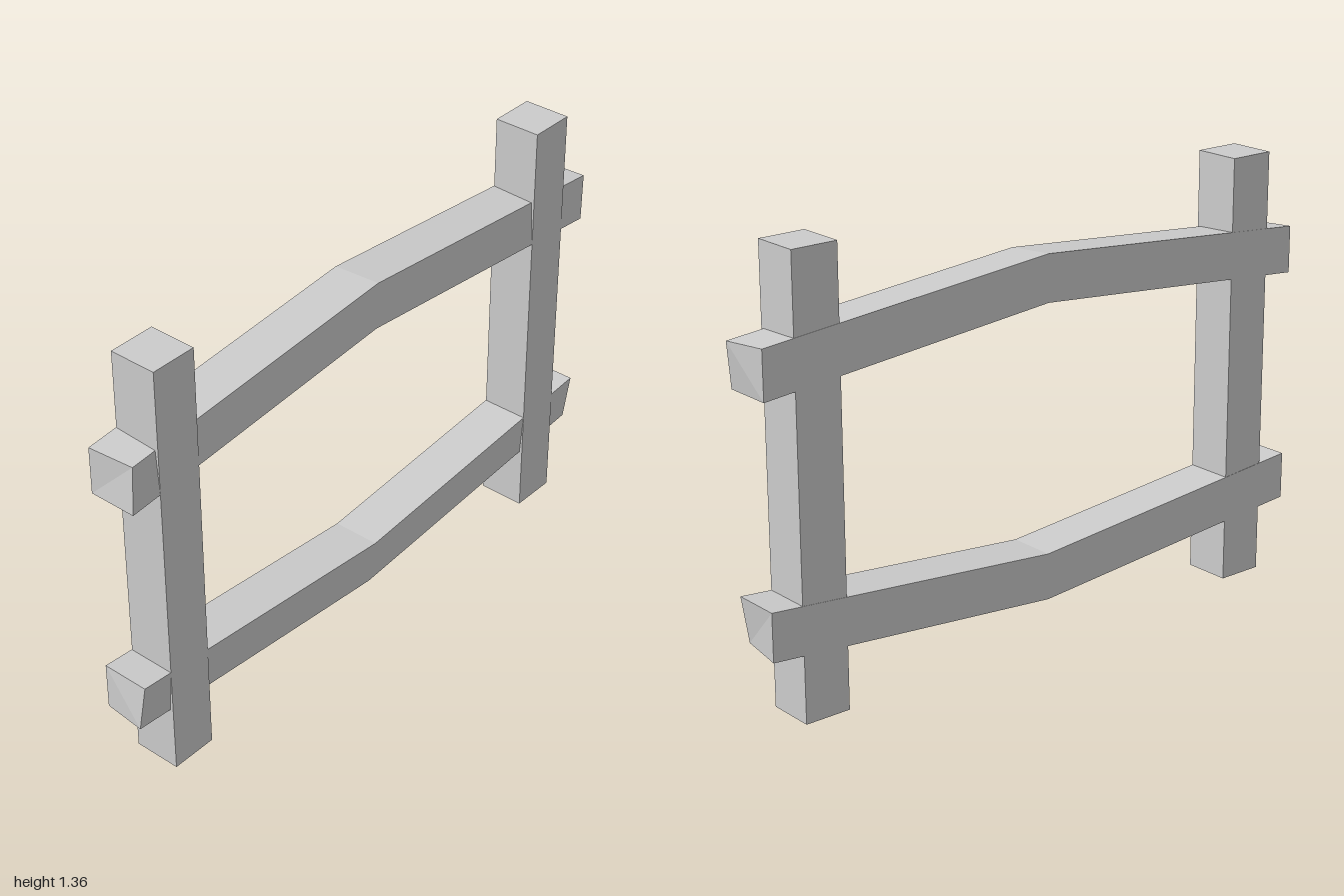
import * as THREE from 'three';

const material = new THREE.MeshStandardMaterial({ color: 0xcccccc, flatShading: true });

// Bent beam along z: three four-cornered sections, with one top edge skewed
function railGeometry() {
  const stations = [
    { z: -0.982, bottom: 0.963, top: 1.111 },
    { z: 0, bottom: 1.05, top: 1.195 },
    { z: 0.982, bottom: 0.963, top: 1.111 },
  ];
  const positions = [];
  for (const { z, bottom, top } of stations) {
    positions.push(
      -0.076, bottom, z,
      0.075, bottom, z,
      0.065, top - 0.007, z - 0.018,
      -0.076, top, z,
    );
  }
  const index = [];
  for (let s = 0; s < stations.length - 1; s++) {
    for (let j = 0; j < 4; j++) {
      const a = s * 4 + j;
      const b = s * 4 + (j + 1) % 4;
      index.push(a, b, b + 4, a, b + 4, a + 4);
    }
  }
  // End caps
  const e = (stations.length - 1) * 4;
  index.push(e, e + 1, e + 2, e, e + 2, e + 3, 0, 2, 1, 0, 3, 2);

  const indexed = new THREE.BufferGeometry();
  indexed.setAttribute('position', new THREE.Float32BufferAttribute(positions, 3));
  indexed.setIndex(index);
  const geometry = indexed.toNonIndexed();
  geometry.computeVertexNormals();
  return geometry;
}

export function createModel() {
  const group = new THREE.Group();
  group.name = 'fence';

  // Upright posts
  const postGeometry = new THREE.BoxGeometry(0.15, 1.36, 0.148);
  for (const [name, side] of [['frontPost', 1], ['backPost', -1]]) {
    const post = new THREE.Mesh(postGeometry, material);
    post.name = name;
    post.position.set(0, 0.68, side * 0.806);
    group.add(post);
  }

  // Rail arching upwards, and the same rail turned over below it
  const geometry = railGeometry();
  const upperRail = new THREE.Mesh(geometry, material);
  upperRail.name = 'upperRail';
  const lowerRail = new THREE.Mesh(geometry, material);
  lowerRail.name = 'lowerRail';
  lowerRail.rotation.x = Math.PI;
  lowerRail.position.y = 1.328;
  group.add(upperRail, lowerRail);

  return group;
}
